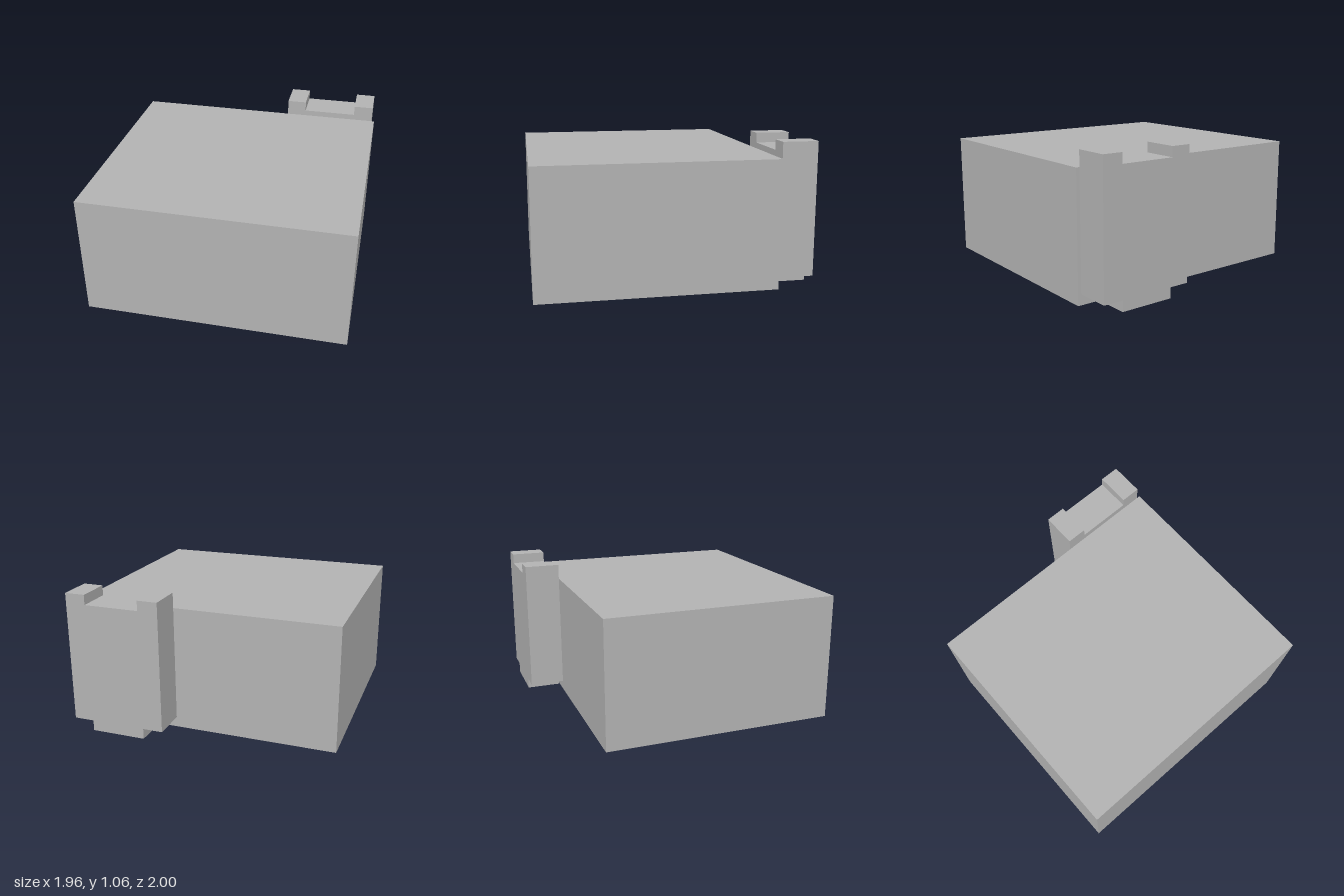
import * as THREE from 'three';

export function createModel() {
  const group = new THREE.Group();
  const grey = new THREE.MeshStandardMaterial({ color: 0xb2b2b2 });
  grey.name = 'grey';

  const add = (name, geometry, x, y, z) => {
    const mesh = new THREE.Mesh(geometry, grey);
    mesh.name = name;
    mesh.position.set(x, y, z);
    group.add(mesh);
    return mesh;
  };

  // Main block
  add('body', new THREE.BoxGeometry(1.964, 0.943, 1.735), 0, 0.4715, 0.1325);

  // Rear block, its centre lowered between two raised side rails
  const outer = 0.358, inner = 0.207;
  const outline = [
    [-outer, 0.08], [-inner, 0.08], [-inner, 0], [inner, 0], [inner, 0.08], [outer, 0.08],
    [outer, 1.06], [inner, 1.06], [inner, 0.985], [-inner, 0.985], [-inner, 1.06], [-outer, 1.06],
  ].map(([x, y]) => new THREE.Vector2(x, y));
  const railBlock = new THREE.ExtrudeGeometry(new THREE.Shape(outline), { depth: 0.26, bevelEnabled: false });
  add('rearBlock', railBlock, 0.602, 0, -1);

  // Thin round spacer joining the rear block to the body
  const spacer = new THREE.CylinderGeometry(0.23, 0.23, 0.008, 32);
  spacer.rotateX(Math.PI / 2);
  add('spacer', spacer, 0.602, 0.575, -0.7375);

  return group;
}
